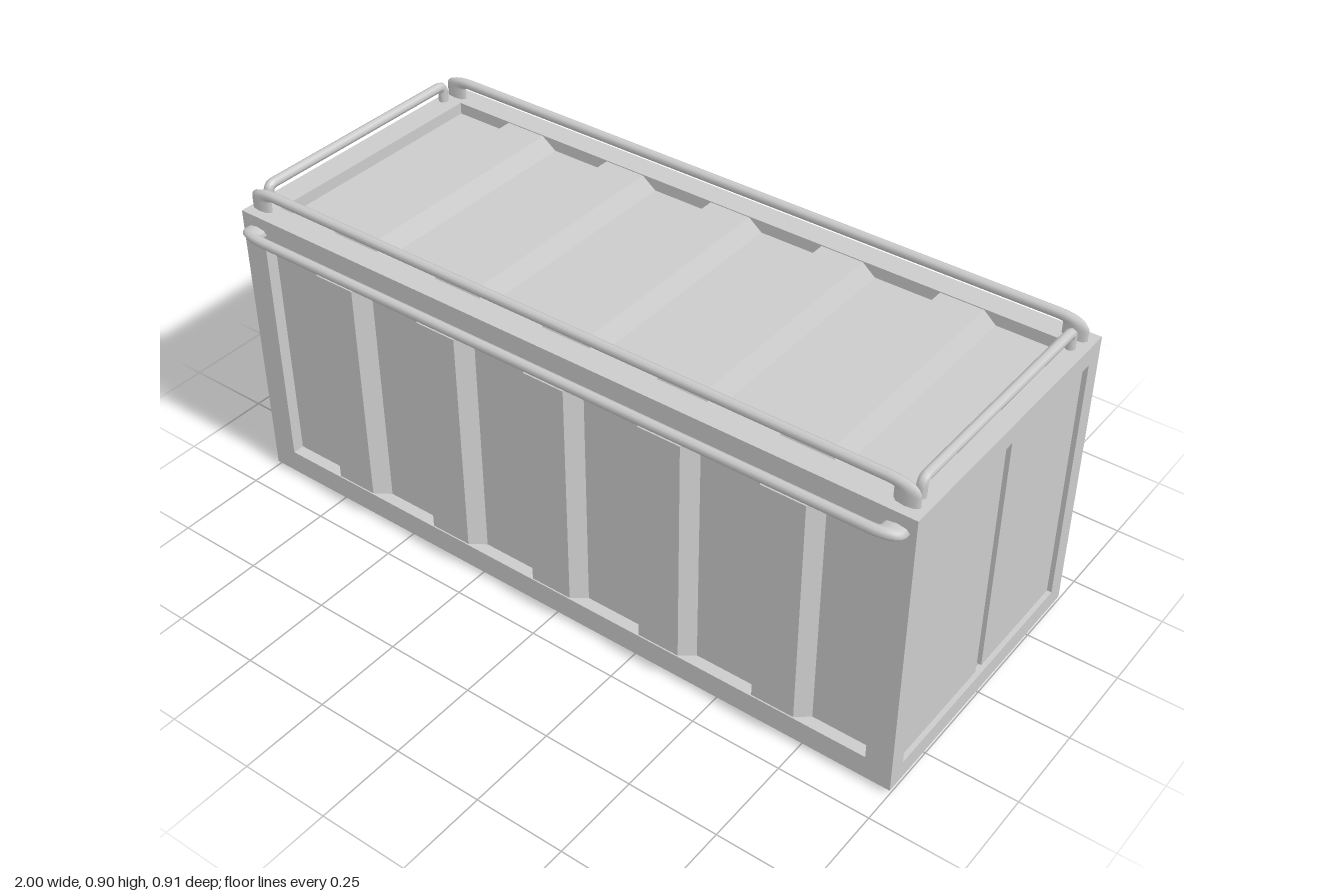
import * as THREE from 'three';

const grey = new THREE.MeshStandardMaterial({ color: 0xcccccc, flatShading: true });
const railGrey = new THREE.MeshStandardMaterial({ color: 0xcccccc });

const HALF = 0.411;      // half of the square cross-section
const MID_Y = 0.4235;    // height of the body's axis
const SUNK = -0.033;     // depth of the wall panels
const RIB_X = [-0.675, -0.3375, 0, 0.3375, 0.675];

function add(parent, name, geometry, material = grey) {
  const mesh = new THREE.Mesh(geometry, material);
  mesh.name = name;
  parent.add(mesh);
  return mesh;
}

// Skin over nested rectangles [halfWidth, halfHeight, z], closed at the last one
function nestedRects(rects) {
  const loops = rects.map(([w, h, z]) => [[-w, -h, z], [w, -h, z], [w, h, z], [-w, h, z]]);
  const pos = [];
  const quad = (a, b, c, d) => pos.push(...a, ...b, ...c, ...a, ...c, ...d);
  for (let k = 0; k + 1 < loops.length; k++) {
    for (let i = 0; i < 4; i++) {
      const j = (i + 1) % 4;
      quad(loops[k][i], loops[k][j], loops[k + 1][j], loops[k + 1][i]);
    }
  }
  quad(...loops[loops.length - 1]);
  const g = new THREE.BufferGeometry();
  g.setAttribute('position', new THREE.Float32BufferAttribute(pos, 3));
  g.computeVertexNormals();
  return g;
}

// Long wall: flat frame, sunken panel and five bevelled ribs, facing +z
function longWall(name) {
  const wall = new THREE.Group();
  wall.name = name;
  add(wall, 'framedPanel', nestedRects([[1, HALF, 0], [0.928, 0.345, 0], [0.928, 0.345, SUNK]]));
  for (const x of RIB_X) {
    add(wall, 'rib', nestedRects([[0.085, 0.345, SUNK], [0.06, 0.325, 0.0125]])).position.x = x;
  }
  wall.children.forEach((m) => { m.position.z = HALF; });
  return wall;
}

// End wall: frame with a pair of doors, facing +z
function endWall(name) {
  const wall = new THREE.Group();
  wall.name = name;
  add(wall, 'doorFrame', nestedRects([[HALF, HALF, 0], [0.36, 0.359, 0], [0.36, 0.359, -0.02]]));
  for (const s of [-1, 1]) {
    add(wall, 'door', nestedRects([[0.167, 0.347, -0.02], [0.167, 0.347, -0.008]])).position.x = s * 0.181;
  }
  wall.children.forEach((m) => { m.position.z = 1; });
  return wall;
}

// Handrail along x with legs down to y = 0; stretch widens legs and bends along x
function railGeometry(halfLength, height, stretch) {
  const r = 0.0135;
  const a = halfLength / stretch - r;
  const c = Math.min(0.02, height * 0.7);
  const v = (x, y) => new THREE.Vector3(x, y, 0);
  const path = new THREE.CurvePath();
  path.add(new THREE.LineCurve3(v(-a, 0), v(-a, height - c)));
  path.add(new THREE.QuadraticBezierCurve3(v(-a, height - c), v(-a, height), v(-a + c, height)));
  path.add(new THREE.LineCurve3(v(-a + c, height), v(a - c, height)));
  path.add(new THREE.QuadraticBezierCurve3(v(a - c, height), v(a, height), v(a, height - c)));
  path.add(new THREE.LineCurve3(v(a, height - c), v(a, 0)));
  return new THREE.TubeGeometry(path, 160, r, 8, false).scale(stretch, 1, 1);
}

export function createModel() {
  const model = new THREE.Group();
  model.name = 'cargoContainer';

  // Four ribbed walls around the long axis
  ['frontWall', 'floor', 'backWall', 'roof'].forEach((name, i) => {
    const wall = longWall(name);
    wall.rotation.x = i * Math.PI / 2;
    wall.position.y = MID_Y;
    model.add(wall);
  });

  // Doors at both ends
  for (const s of [-1, 1]) {
    const end = endWall(s > 0 ? 'leftEnd' : 'rightEnd');
    end.rotation.y = s * Math.PI / 2;
    end.position.y = MID_Y;
    model.add(end);
  }

  for (const s of [-1, 1]) {
    // Long rails on the roof
    add(model, 'roofLongRail', railGeometry(0.99, 0.0535, 2.5), railGrey)
      .position.set(-0.007, 0.83, s * 0.372);
    // Short rails across the roof ends
    const cross = add(model, 'roofEndRail', railGeometry(0.345, 0.0465, 1), railGrey);
    cross.rotation.y = Math.PI / 2;
    cross.position.set(s * 0.968 - 0.007, 0.835, 0.004);
    // Grab rails along the sides
    const side = add(model, 'sideRail', railGeometry(0.984, 0.0375, 2.5), railGrey);
    side.rotation.x = s * Math.PI / 2;
    side.position.set(0, 0.791, s * 0.405);
  }
  return model;
}
